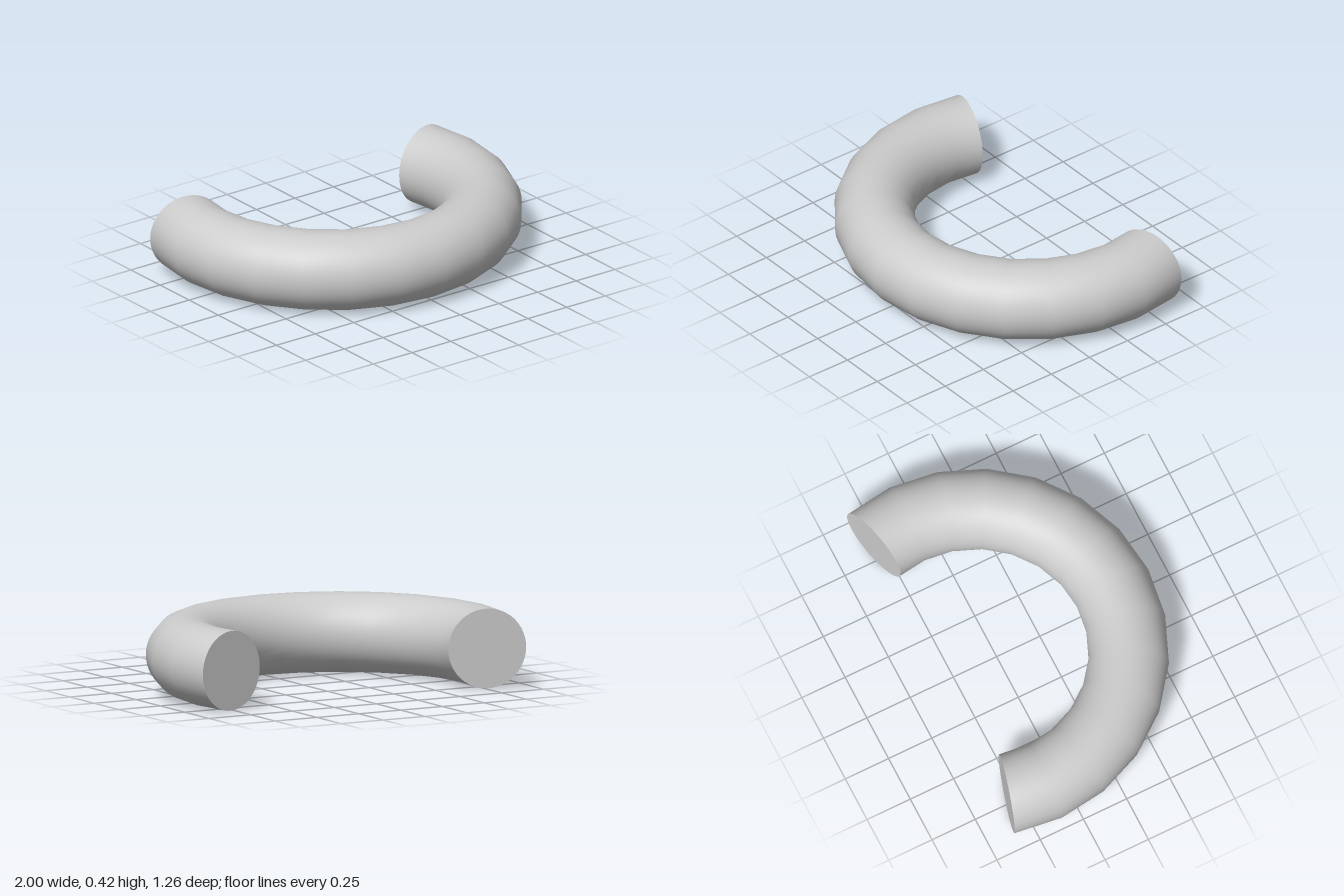
import * as THREE from 'three';

export function createModel() {
  const group = new THREE.Group();
  const material = new THREE.MeshStandardMaterial({ color: 0xcccccc });

  const tubeRadius = 0.2083;
  const ringRadius = 1 - tubeRadius;
  const overrun = Math.PI / 12; // how far each arm runs past a half circle
  const sides = 48;
  const centreZ = -(1 - Math.sin(overrun)) / 2;

  // Curved bar: 14 straight steps of 15 degrees, lying flat
  const arc = new THREE.TorusGeometry(ringRadius, tubeRadius, sides, 14, Math.PI + 2 * overrun);
  arc.rotateZ(-overrun).rotateX(Math.PI / 2);
  const bar = new THREE.Mesh(arc, material);
  bar.name = 'curvedBar';
  bar.position.set(0, tubeRadius, centreZ);
  group.add(bar);

  // Flat round caps closing both ends
  for (const side of [1, -1]) {
    const cap = new THREE.Mesh(new THREE.CircleGeometry(tubeRadius, sides), material);
    cap.name = side > 0 ? 'leftEndCap' : 'rightEndCap';
    cap.position.set(
      side * ringRadius * Math.cos(overrun),
      tubeRadius,
      centreZ - ringRadius * Math.sin(overrun)
    );
    cap.rotation.y = Math.PI + side * overrun;
    group.add(cap);
  }

  return group;
}
